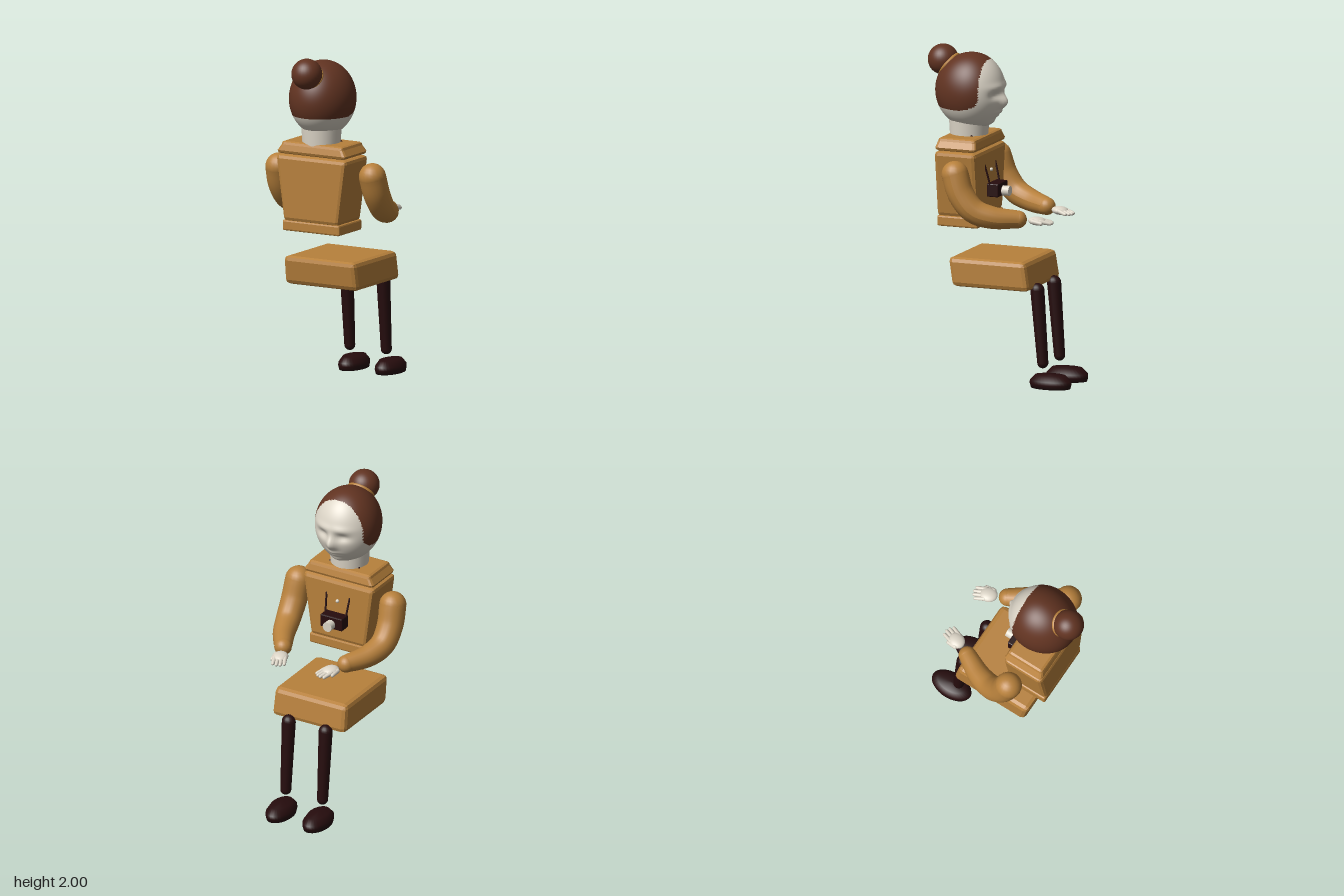
import * as THREE from 'three';
import { mergeVertices } from 'three/addons/utils/BufferGeometryUtils.js';
import { RoundedBoxGeometry } from 'three/addons/geometries/RoundedBoxGeometry.js';

const V = (x, y, z) => new THREE.Vector3(x, y, z);

function colour(name, hex) {
  const m = new THREE.MeshStandardMaterial({ color: hex });
  m.name = name;
  return m;
}

// Moves every vertex of a geometry by a rule
function reshape(geo, rule) {
  const p = geo.attributes.position, v = V(0, 0, 0);
  for (let i = 0; i < p.count; i++) {
    v.fromBufferAttribute(p, i);
    rule(v, i);
    p.setXYZ(i, v.x, v.y, v.z);
  }
  geo.computeVertexNormals();
  return geo;
}

export function createModel() {
  const cloth = colour('ochre cloth', 0xb8813c);
  const skin = colour('pale skin', 0xdcd5c7);
  const brown = colour('brown hair', 0x613321);
  const dark = colour('dark maroon', 0x260c0d);
  const model = new THREE.Group();

  function add(name, geo, mat, pos = V(0, 0, 0), parent = model) {
    const mesh = new THREE.Mesh(geo, mat);
    mesh.name = name;
    mesh.position.copy(pos);
    parent.add(mesh);
    return mesh;
  }

  // Bevelled block; rule bends it before placement
  const block = (name, w, h, d, r, mat, pos, rule = () => {}) =>
    add(name, reshape(new RoundedBoxGeometry(w, h, d, 1, r), rule), mat, pos);

  // Round-ended tapered limb between two points
  function limb(name, a, b, ra, rb, mat, parent) {
    const len = a.distanceTo(b), pts = [];
    for (let i = 0; i <= 6; i++) {
      const t = -Math.PI / 2 + (i / 6) * Math.PI / 2;
      pts.push(new THREE.Vector2(Math.cos(t) * ra, Math.sin(t) * ra));
    }
    for (let i = 0; i <= 6; i++) {
      const t = (i / 6) * Math.PI / 2;
      pts.push(new THREE.Vector2(Math.max(0, Math.cos(t)) * rb, len + Math.sin(t) * rb));
    }
    const m = add(name, new THREE.LatheGeometry(pts, 16), mat, a, parent);
    m.quaternion.setFromUnitVectors(V(0, 1, 0), b.clone().sub(a).normalize());
  }

  // Torso: hips, waist band, tapered chest, shoulder yoke
  block('hips', 0.5, 0.175, 0.495, 0.028, cloth, V(0, 0.677, 0), v => {
    v.z += v.y * 0.16;
    v.x *= 1 - v.y * 0.1;
  });
  block('waistBand', 0.395, 0.064, 0.262, 0.01, cloth, V(0, 0.97, 0.219));
  block('chest', 0.49, 0.4, 0.266, 0.024, cloth, V(0, 1.195, 0.22), v => {
    v.x *= 0.885 + v.y * 0.575;
  });
  block('shoulderYoke', 0.475, 0.075, 0.262, 0.02, cloth, V(0, 1.437, 0.219), v => {
    if (v.y > 0) { v.x *= 0.9; v.z *= 0.93; }
  });
  add('neck', new THREE.CylinderGeometry(0.12, 0.112, 0.13, 32), skin, V(0, 1.5, 0.225));

  // Head: egg with face relief, hair as a second material group
  const c = V(0, 1.735, 0.205);
  let head = new THREE.SphereGeometry(1, 96, 72);
  head.deleteAttribute('uv');
  head.deleteAttribute('normal');
  head = mergeVertices(head, 1e-5);
  const bump = (x, y, cx, cy, wx, wy) =>
    Math.exp(-(((x - cx) / wx) ** 2) - ((y - cy) / wy) ** 2);
  reshape(head, v => {
    const front = v.z < 0;
    v.set(v.x * 0.196, v.y * 0.227, v.z * (front ? 0.2 : 0.224)).add(c);
    if (!front) return;
    const x = Math.abs(v.x), y = v.y;
    const tip = 0.4 + 0.6 * THREE.MathUtils.clamp((1.76 - y) / 0.1, 0, 1);
    v.z += -0.042 * tip * bump(x, y, 0, 1.685, 0.02 + 0.01 * tip, 0.05)
      + 0.022 * bump(x, y, 0.065, 1.725, 0.045, 0.025)
      - 0.008 * bump(x, y, 0.06, 1.775, 0.07, 0.02)
      - 0.014 * bump(x, y, 0, 1.615, 0.04, 0.01)
      - 0.012 * bump(x, y, 0, 1.592, 0.035, 0.01)
      - 0.022 * bump(x, y, 0, 1.54, 0.06, 0.03);
  });
  const idx = head.index.array, p = head.attributes.position;
  const face = [], hair = [];
  for (let i = 0; i < idx.length; i += 3) {
    const tri = [idx[i], idx[i + 1], idx[i + 2]];
    const y = tri.reduce((s, k) => s + p.getY(k), 0) / 3;
    const z = tri.reduce((s, k) => s + p.getZ(k), 0) / 3;
    const edge = 1.638 + 0.06 * Math.exp(-(z - 0.1) / 0.04);
    (z > 0.1 && y > edge ? hair : face).push(...tri);
  }
  head.setIndex([...face, ...hair]);
  head.addGroup(0, face.length, 0);
  head.addGroup(face.length, hair.length, 1);
  add('head', head, [skin, brown]);

  // Bun and its band
  add('hairBun', new THREE.SphereGeometry(0.092, 32, 24), brown, V(0, 1.907, 0.392));
  const band = add('bunBand', new THREE.TorusGeometry(0.072, 0.014, 10, 32), cloth, V(0, 1.88, 0.354));
  band.lookAt(0, 1.907 + 0.17, 0.392 + 0.2);

  // Camera on the chest, with lens, strap and a collar button
  block('cameraBody', 0.15, 0.08, 0.075, 0.006, dark, V(0, 1.152, 0.045));
  const lens = add('cameraLens', new THREE.CylinderGeometry(0.03, 0.03, 0.045, 24), skin, V(0, 1.143, -0.016));
  lens.rotation.x = Math.PI / 2;
  add('button', new THREE.SphereGeometry(0.011, 16, 12), skin, V(0, 1.265, 0.082));
  const strap = new THREE.CatmullRomCurve3([
    V(0.07, 1.18, 0.06), V(0.078, 1.28, 0.085), V(0.09, 1.4, 0.125), V(0.1, 1.475, 0.165),
    V(0, 1.46, 0.25),
    V(-0.1, 1.475, 0.165), V(-0.09, 1.4, 0.125), V(-0.078, 1.28, 0.085), V(-0.07, 1.18, 0.06)]);
  add('cameraStrap', new THREE.TubeGeometry(strap, 60, 0.006, 8), dark);

  for (const s of [-1, 1]) {
    const side = s > 0 ? 'left' : 'right';

    // Bent arm with a radius that swells at the elbow and narrows at the wrist
    const path = new THREE.CatmullRomCurve3([
      V(s * 0.325, 1.285, 0.178), V(s * 0.331, 1.17, 0.137), V(s * 0.325, 1.075, 0.06),
      V(s * 0.29, 1.035, -0.05), V(s * 0.218, 1.022, -0.182)]);
    const n = 28, sides = 20;
    const radius = t => 0.081 - 0.028 * t * t;
    const arm = reshape(new THREE.TubeGeometry(path, n, 1, sides), (v, i) => {
      const t = Math.floor(i / (sides + 1)) / n, o = path.getPointAt(t);
      v.sub(o).multiplyScalar(radius(t)).add(o);
    });
    add(side + 'Arm', arm, cloth);
    add(side + 'Shoulder', new THREE.SphereGeometry(radius(0), 20, 14), cloth, path.getPointAt(0));
    add(side + 'Cuff', new THREE.SphereGeometry(radius(1), 20, 14), cloth, path.getPointAt(1));

    // Hand: palm, four fingers and thumb
    const hand = new THREE.Group();
    hand.name = side + 'Hand';
    hand.position.set(s * 0.19, 1.015, -0.245);
    hand.rotation.set(-0.06, s * 0.38, 0);
    model.add(hand);
    const palm = add('palm', new THREE.SphereGeometry(1, 20, 14), skin, V(0, 0, -0.045), hand);
    palm.scale.set(0.047, 0.025, 0.054);
    for (let f = 0; f < 4; f++) {
      const x = s * (f - 1.5) * 0.023;
      const reach = f === 0 || f === 3 ? -0.122 : -0.132;
      limb('finger', V(x * 0.9, 0.002, -0.065), V(x, -0.006, reach), 0.014, 0.01, skin, hand);
    }
    limb('thumb', V(s * 0.03, 0, -0.02), V(s * 0.046, -0.006, -0.068), 0.016, 0.012, skin, hand);

    // Lower leg and shoe
    limb(side + 'Leg', V(s * 0.127, 0.148, -0.303), V(s * 0.127, 0.585, -0.268), 0.033, 0.042, dark);
    const sole = [[0, 0], [0.94, 0], [1, 0.025], [0.99, 0.045], [0.72, 0.079], [0, 0.083]];
    const shoe = add(side + 'Shoe',
      new THREE.LatheGeometry(sole.map(q => new THREE.Vector2(...q)), 32), dark, V(s * 0.127, 0, -0.353));
    shoe.scale.set(0.077, 1, 0.131);
  }
  return model;
}
